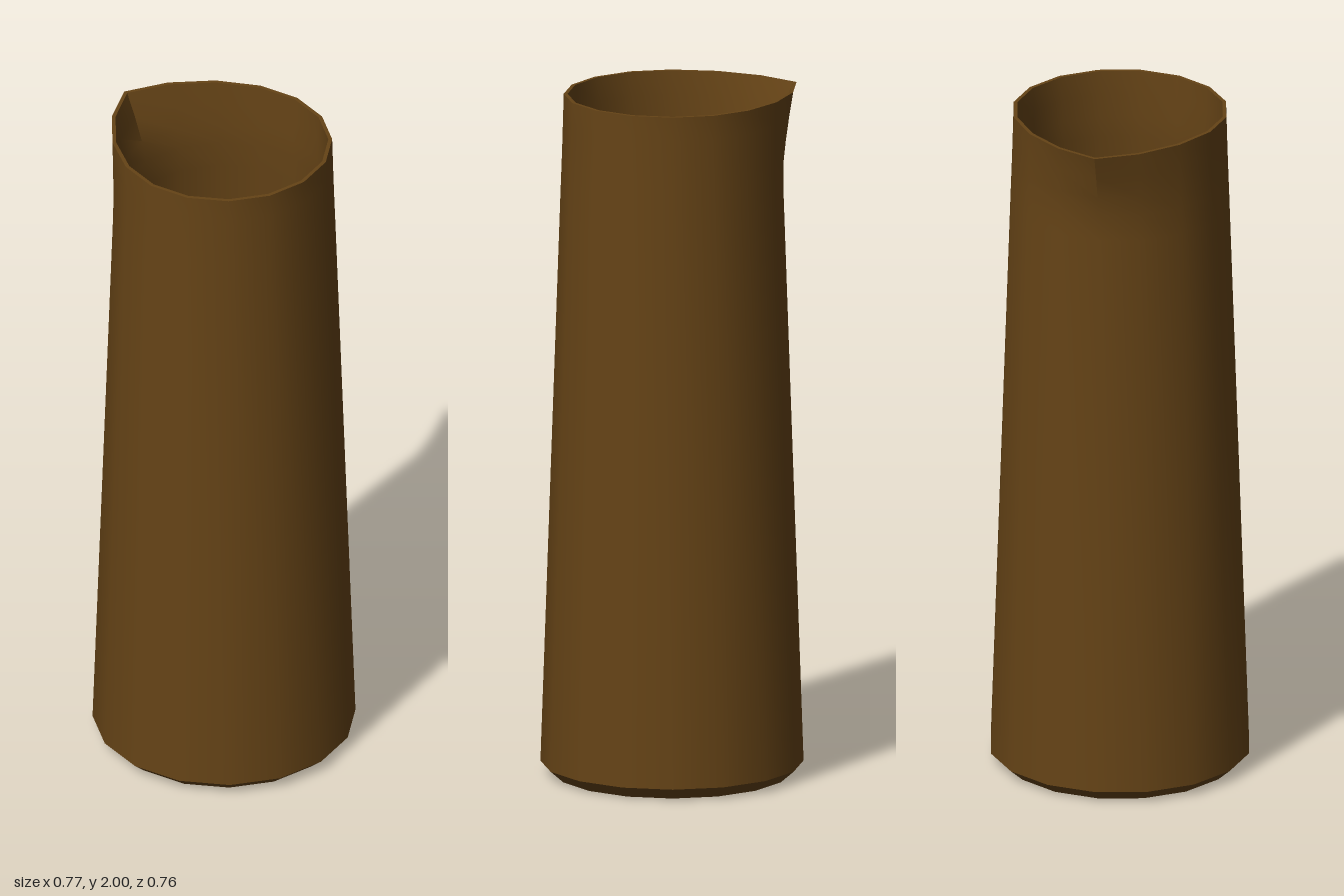
import * as THREE from 'three';
import { toCreasedNormals } from 'three/addons/utils/BufferGeometryUtils.js';

const SIDES = 16;
const SPOUT_START = 1.76;
const SPOUT_REACH = 0.077;

// Pull the upper wall out towards -x into a pouring lip
function pinchSpout(geometry) {
  const p = geometry.attributes.position;
  for (let i = 0; i < p.count; i++) {
    const x = p.getX(i), y = p.getY(i), z = p.getZ(i);
    const rise = Math.max(0, (y - SPOUT_START) / (2 - SPOUT_START));
    const angle = Math.abs(Math.atan2(z, -x));
    const focus = Math.max(0, 1 - angle / (Math.PI * 3 / 8));
    p.setX(i, x - SPOUT_REACH * Math.pow(rise, 1.3) * Math.pow(focus, 1.6));
  }
  return geometry;
}

export function createModel() {
  const group = new THREE.Group();
  group.name = 'carafe';
  const material = new THREE.MeshStandardMaterial({ color: 0x654316 });

  // Closed profile: base, chamfer, tapered wall, rim, inner wall, inner floor
  const profile = [
    [0, 0], [0.338, 0], [0.378, 0.035],
    [0.32, 1.72], [0.317, 1.8], [0.315, 1.86], [0.313, 1.93], [0.311, 2],
    [0.3, 2], [0.297, 1.93], [0.295, 1.86], [0.295, 1.8], [0.302, 1.72],
    [0.354, 0.06], [0.335, 0.035], [0, 0.035],
  ].map(([r, y]) => new THREE.Vector2(r, y));

  const lathe = pinchSpout(new THREE.LatheGeometry(profile, SIDES));
  const body = new THREE.Mesh(toCreasedNormals(lathe, 0.6), material);
  body.name = 'body';
  body.position.x = 0.0075; // balances the overhang of the lip
  group.add(body);
  return group;
}
